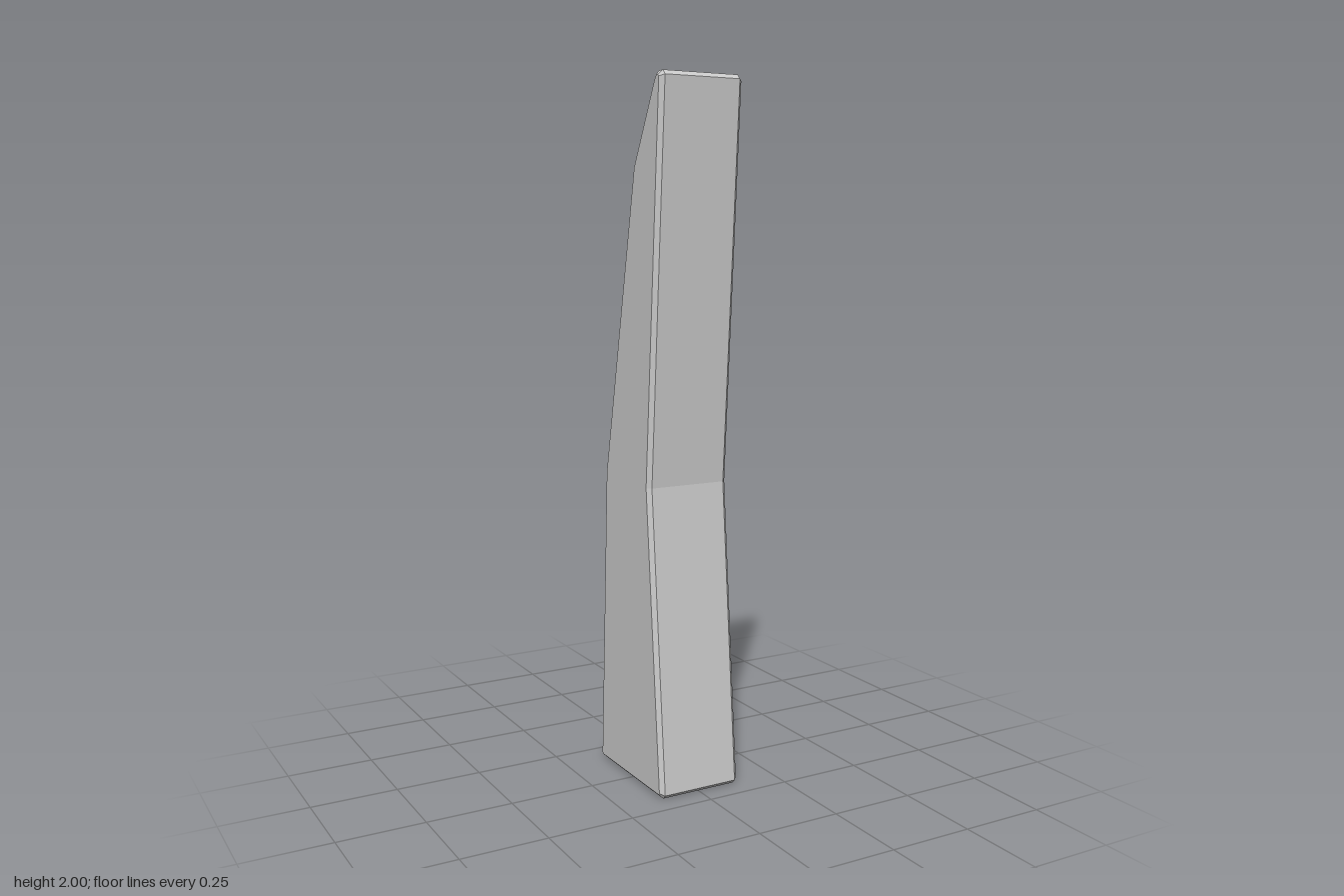
import * as THREE from 'three';

export function createModel() {
  const group = new THREE.Group();
  group.name = 'taperedPost';

  const width = 0.254;
  const bevel = 0.012;

  // Side outline as [z, y]: bent at the waist, sloped at the tip, with clipped corners
  const outline = [
    [-0.18, 0], [0.178, 0], [0.19, 0.012],
    [0.115, 0.88],
    [0.19, 1.988], [0.178, 2], [0.158, 2], [0.145, 1.983],
    [0.028, 1.76],
    [-0.15, 0.89],
    [-0.192, 0.012],
  ];
  const shape = new THREE.Shape(outline.map(([z, y]) => new THREE.Vector2(z, y)));

  // Extrude across the width with a chamfer kept inside the outline
  const geometry = new THREE.ExtrudeGeometry(shape, {
    depth: width - 2 * bevel,
    bevelEnabled: true,
    bevelThickness: bevel,
    bevelSize: bevel,
    bevelOffset: -bevel,
    bevelSegments: 1,
  });
  geometry.translate(0, 0, bevel - width / 2);
  geometry.rotateY(-Math.PI / 2);

  // Centre the post across the width
  geometry.computeBoundingBox();
  const { min, max } = geometry.boundingBox;
  geometry.translate(-(min.x + max.x) / 2, -min.y, -(min.z + max.z) / 2);

  const post = new THREE.Mesh(
    geometry,
    new THREE.MeshStandardMaterial({ color: 0xcccccc, flatShading: true }),
  );
  post.name = 'post';
  group.add(post);
  return group;
}
